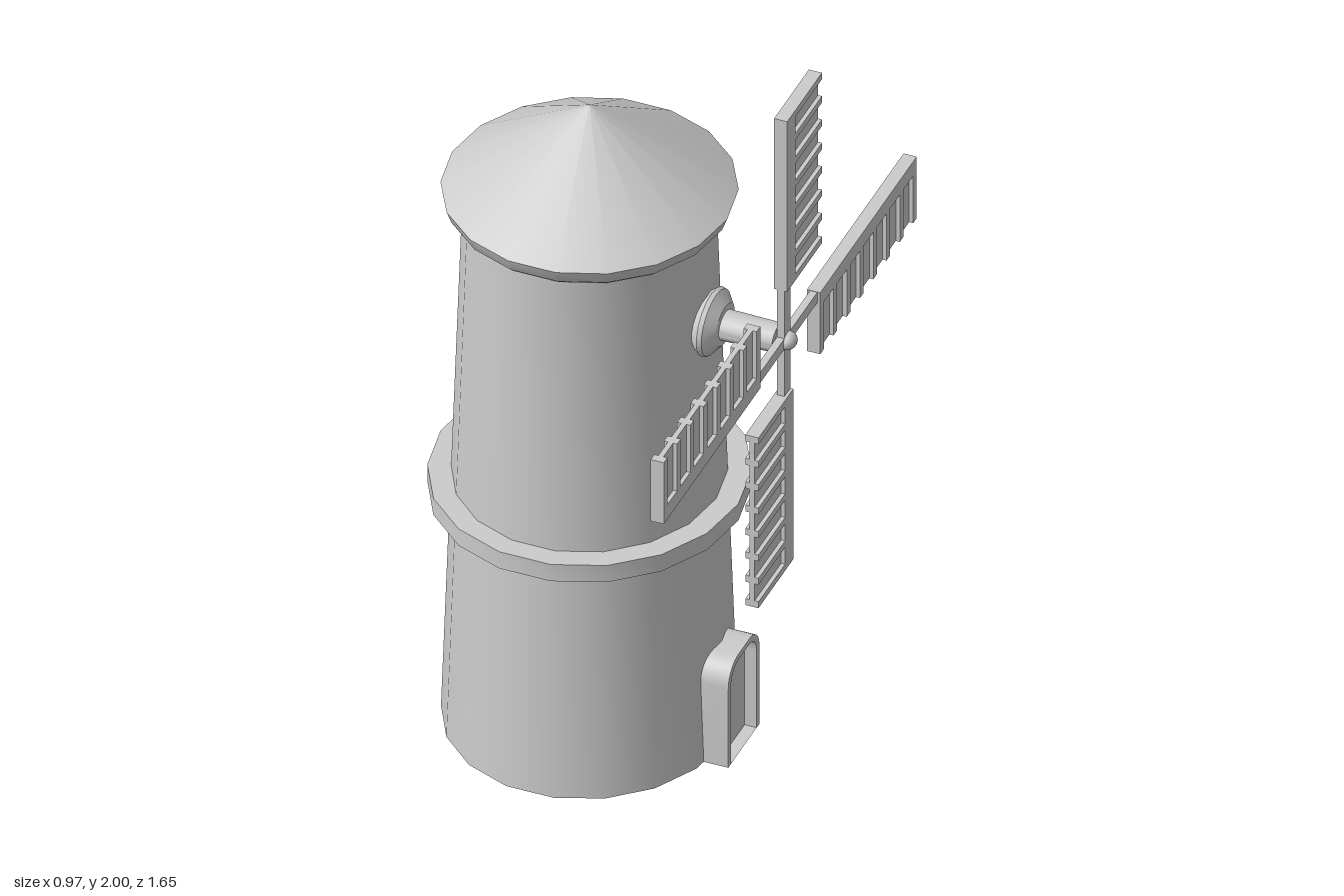
import * as THREE from 'three';
import { toCreasedNormals } from 'three/addons/utils/BufferGeometryUtils.js';

const material = new THREE.MeshStandardMaterial({ color: 0xcccccc, side: THREE.DoubleSide });

function part(name, geometry, parent) {
  const mesh = new THREE.Mesh(geometry, material);
  mesh.name = name;
  parent.add(mesh);
  return mesh;
}

// Turned shape from [radius, height] pairs, with a corner pointing along x
function turned(points, sides = 18) {
  const profile = points.map(([r, h]) => new THREE.Vector2(r, h));
  return toCreasedNormals(new THREE.LatheGeometry(profile, sides, Math.PI / 2), 0.5);
}

function box(name, parent, x0, x1, y0, y1, z0, z1) {
  const mesh = part(name, new THREE.BoxGeometry(x1 - x0, y1 - y0, z1 - z0), parent);
  mesh.position.set((x0 + x1) / 2, (y0 + y1) / 2, (z0 + z1) / 2);
  return mesh;
}

// Doorway outline with rounded top corners, standing on y = 0
function archPath(PathType, halfWidth, height, radius) {
  const p = new PathType();
  p.moveTo(-halfWidth, 0);
  p.lineTo(halfWidth, 0);
  p.lineTo(halfWidth, height - radius);
  p.absarc(halfWidth - radius, height - radius, radius, 0, Math.PI / 2);
  p.absarc(radius - halfWidth, height - radius, radius, Math.PI / 2, Math.PI);
  p.closePath();
  return p;
}

// Arch extruded along +x between x0 and x1
function archSolid(shape, x0, x1) {
  const g = new THREE.ExtrudeGeometry(shape, { depth: x1 - x0, bevelEnabled: false, curveSegments: 5 });
  g.rotateY(Math.PI / 2).translate(x0, 0, 0);
  return toCreasedNormals(g, 0.5);
}

// One sail pointing up, its shutters on the -z side of the spine
function createSail() {
  const sail = new THREE.Group();
  const start = 0.165, end = 0.697, outer = -0.175, bars = 8, barWidth = 0.02;
  box('sailArm', sail, -0.01, 0.01, 0, start + 0.02, -0.016, 0.016);
  box('sailSpine', sail, -0.018, 0.018, start, end, -0.028, 0.017);
  box('sailPanel', sail, -0.007, 0.007, start + 0.004, end - 0.004, outer, -0.02);
  for (let i = 0; i < bars; i++) {
    const y = start + (end - start - barWidth) * i / (bars - 1);
    box('sailBar', sail, -0.018, 0.018, y, y + barWidth, outer, -0.028);
  }
  return sail;
}

export function createModel() {
  const model = new THREE.Group();
  model.name = 'windmill';

  // Tower, gallery ring and roof
  const body = new THREE.Group();
  body.name = 'body';
  body.position.x = -0.084;
  model.add(body);
  const tower = part('tower', turned([[0.372, 0], [0.318, 1.6]]), body);
  tower.scale.z = 1.065;
  const ring = part('galleryRing', turned([[0.34, 0.7], [0.407, 0.7], [0.407, 0.752], [0.34, 0.752]]), body);
  ring.scale.z = 1.052;
  const roof = part('roof', turned([
    [0, 1.58], [0.345, 1.58], [0.362, 1.595], [0.376, 1.632], [0, 1.885],
  ]), body);
  roof.scale.z = 1.015;

  // Doorway: raised surround and recessed door
  const surround = archPath(THREE.Shape, 0.102, 0.31, 0.065);
  surround.holes.push(archPath(THREE.Path, 0.084, 0.294, 0.052));
  part('doorSurround', archSolid(surround, 0.24, 0.338), model);
  part('door', archSolid(archPath(THREE.Shape, 0.086, 0.296, 0.054), 0.24, 0.305), model);

  // Shaft housing, shaft and nose cap, turned about the x axis
  const axle = new THREE.Group();
  axle.name = 'axle';
  axle.position.y = 1.302;
  axle.scale.z = 1.15;
  model.add(axle);
  const housing = part('shaftHousing', turned([
    [0, 0.2], [0.07, 0.225], [0.088, 0.25], [0.085, 0.262], [0.055, 0.287], [0, 0.29],
  ]), axle);
  const shaft = part('shaft', turned([[0, 0.22], [0.04, 0.22], [0.037, 0.432], [0, 0.432]]), axle);
  const spindle = part('spindle', turned([[0, 0.42], [0.018, 0.42], [0.018, 0.46], [0, 0.46]], 12), axle);
  for (const m of [housing, shaft, spindle]) m.rotation.z = -Math.PI / 2;
  part('noseCap', new THREE.SphereGeometry(0.024, 14, 10), axle).position.x = 0.459;

  // Four sails around the shaft
  const sails = new THREE.Group();
  sails.name = 'sails';
  sails.position.set(0.447, 1.303, 0);
  sails.scale.z = 1.185;
  model.add(sails);
  for (let i = 0; i < 4; i++) {
    const sail = createSail();
    sail.name = 'sail';
    sail.rotation.x = i * Math.PI / 2;
    sails.add(sail);
  }
  return model;
}
